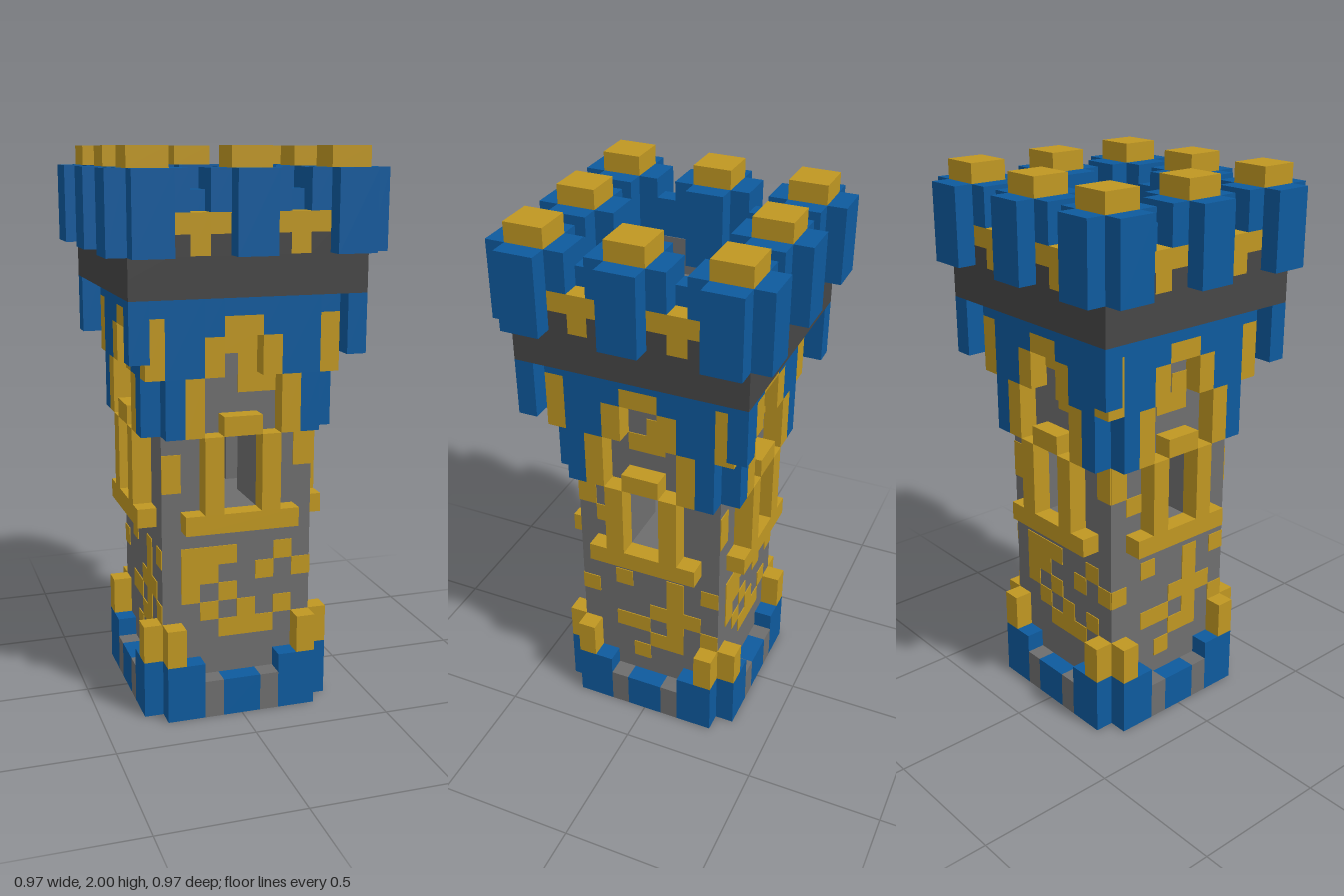
import * as THREE from 'three';

const U = 2 / 29; // one block
const mat = (name, color) => Object.assign(new THREE.MeshStandardMaterial({ color }), { name });

export function createModel() {
  const blue = mat('blue', 0x0e5a9d), gold = mat('gold', 0xc09722);
  const grey = mat('stone grey', 0x6e6e6e), dark = mat('dark grey', 0x464646);
  const model = new THREE.Group();
  model.name = 'tower';

  // box from block coordinates
  const box = (parent, name, m, x0, x1, y0, y1, z0, z1) => {
    const mesh = new THREE.Mesh(new THREE.BoxGeometry((x1 - x0) * U, (y1 - y0) * U, (z1 - z0) * U), m);
    mesh.position.set((x0 + x1) * U / 2, (y0 + y1) * U / 2, (z0 + z1) * U / 2);
    mesh.name = name;
    parent.add(mesh);
  };
  // the same box on both sides of x = 0
  const pair = (parent, name, m, x0, x1, ...rest) => {
    box(parent, name, m, x0, x1, ...rest);
    box(parent, name, m, -x1, -x0, ...rest);
  };

  // shaft, pierced by two crossing window tunnels
  box(model, 'lowerShaft', grey, -4, 4, 0, 11, -4, 4);
  for (const z of [-4, 1]) pair(model, 'windowPier', grey, 1, 4, 11, 15, z, z + 3);
  box(model, 'upperShaft', grey, -4, 4, 15, 22, -4, 4);
  box(model, 'platformRim', dark, -6, 6, 22, 23, -6, 6);
  box(model, 'roofFloor', grey, -4, 4, 22.5, 23.05, -4, 4);

  // gold patches on the stone: [x0, x1, y0, y1]
  const patches = [
    [[-3, 0, 8, 9], [-3, -1, 7, 8], [-1, 0, 6, 7], [-3, -2, 6, 7], [-2, -1, 5, 6], [-1, 2, 4, 5],
      [2, 3, 5, 6], [2, 3, 8, 9], [1, 2, 7, 8], [3, 4, 7, 8], [0, 1, 5, 6],
      [-4, -3, 12, 14], [3, 4, 13, 15], [-1, 1, 19, 20], [0, 1, 17, 19], [1, 2, 17, 18]],
    [[-2, -1, 8, 9], [1, 2, 8, 9], [3, 4, 8, 9], [-4, -3, 7, 8], [1, 2, 7, 8], [0, 3, 6, 7],
      [-2, 0, 5, 6], [1, 2, 5, 6], [3, 4, 5, 6], [0, 2, 4, 5], [-1, 0, 3, 4],
      [-3, -2, 12, 13], [-4, -3, 13, 15], [0, 1, 17, 19], [-1, 0, 17, 18]],
  ];

  for (let i = 0; i < 4; i++) {
    const side = new THREE.Group();
    side.name = ['frontSide', 'leftSide', 'backSide', 'rightSide'][i];
    side.rotation.y = i * Math.PI / 2;
    model.add(side);
    for (const [x0, x1, y0, y1] of patches[i % 2]) box(side, 'goldPatch', gold, x0, x1, y0, y1, 4, 4.05);

    // plinth
    pair(side, 'plinthCorner', blue, 2, 4, 0, 3, 4, 5);
    pair(side, 'plinthJoint', grey, 1, 2, 0, 2, 4, 5);
    box(side, 'plinthMiddle', blue, -1, 1, 0, 2, 4, 5);
    pair(side, 'plinthPost', gold, 3, 4, 3, 5, 4, 5);

    // window frame
    box(side, 'windowSill', gold, -3, 3, 10, 11, 4, 5);
    pair(side, 'windowPost', gold, 1, 2, 11, 15, 4, 5);
    box(side, 'windowLintel', gold, -1, 1, 15, 16, 4, 5);

    // stepped arch under the platform
    pair(side, 'archFoot', gold, 2, 3, 15, 18, 4, 5);
    pair(side, 'archBracket', blue, 3, 4, 15, 18, 4, 5);
    pair(side, 'archWall', blue, 2, 4, 18, 22, 4, 5);
    pair(side, 'archShoulder', gold, 1, 2, 18, 20, 4, 5);
    pair(side, 'archShoulderTop', blue, 1, 2, 20, 22, 4, 5);
    box(side, 'archCrown', gold, -1, 1, 20, 21, 4, 5);
    box(side, 'archCrownTop', blue, -1, 1, 21, 22, 4, 5);
    box(side, 'cornerGold', gold, 4, 5, 18, 21, 4, 5);
    box(side, 'cornerTop', blue, 4, 5, 21, 22, 4, 5);
    box(side, 'cornerPendant', blue, 5, 6, 19, 22, 5, 6);

    // parapet wall
    box(side, 'parapetBase', dark, -4, 6, 23, 24, 4, 6);
    box(side, 'parapetLining', grey, -4, 4, 23, 25, 3.95, 4);
    for (const x of [1, 3]) {
      pair(side, 'parapetNotch', dark, x, x + 1, 24, 25, 5, 6);
      pair(side, 'parapetGold', gold, x, x + 1, 25, 26, 5, 6);
      pair(side, 'parapetCheek', blue, x, x + 1, 26, 28, 5, 6);
      pair(side, 'parapetBack', blue, x, x + 1, 24, 28, 4, 5);
    }
    pair(side, 'crenelGold', gold, 2, 3, 24, 26, 5, 6);
    pair(side, 'crenelBack', blue, 2, 3, 24, 27, 4, 5);

    // merlons with gold caps
    box(side, 'middleMerlon', blue, -1, 1, 24, 28, 3, 7);
    box(side, 'middleCap', gold, -1, 1, 28, 29, 4, 6);
    box(side, 'cornerMerlon', blue, 4, 6, 24, 28, 4, 6);
    box(side, 'cornerCap', gold, 4, 6, 28, 29, 4, 6);
    pair(side, 'cornerMerlonWing', blue, 4, 6, 24, 28, 6, 7);
  }
  return model;
}
